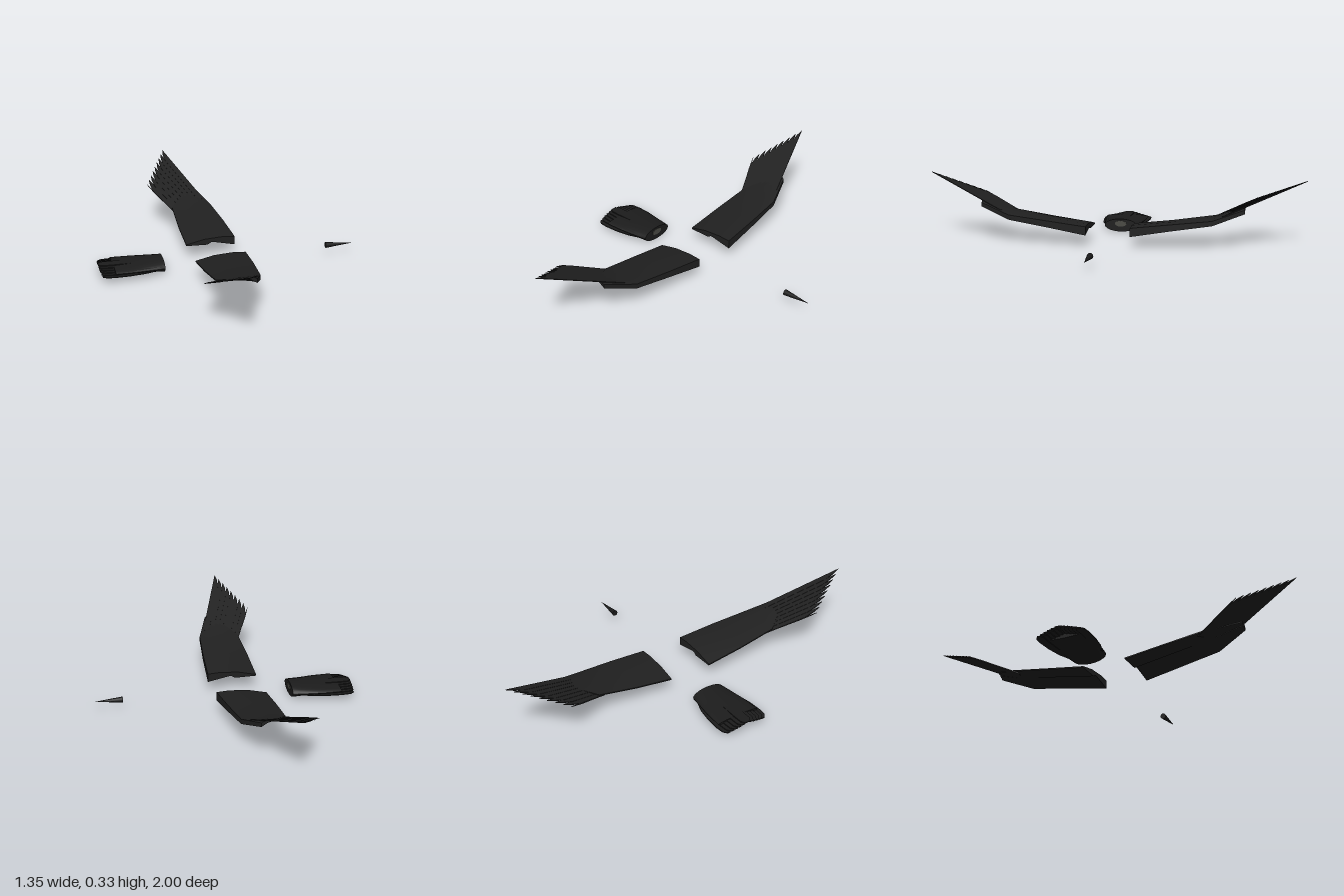
import * as THREE from 'three';
import { toCreasedNormals } from 'three/addons/utils/BufferGeometryUtils.js';

const mat = (name, color) => {
  const m = new THREE.MeshStandardMaterial({ color });
  m.name = name;
  return m;
};

// Closed skin over rings of [x, y, z] points, capped at both ends and always facing outwards
function loft(name, rings, material) {
  const n = rings[0].length, pts = rings.flat().map(p => new THREE.Vector3(...p)), tris = [];
  rings.slice(1).forEach((_, r) => {
    for (let i = 0; i < n; i++) {
      const a = r * n + i, b = r * n + (i + 1) % n;
      tris.push([a, b, b + n], [a, b + n, a + n]);
    }
  });
  [0, rings.length - 1].forEach((r, end) => {
    const cap = rings[r].map(p => new THREE.Vector3(...p));
    const mid = cap.reduce((s, p) => s.add(p), new THREE.Vector3()).divideScalar(n);
    const c = pts.push(mid) - 1;
    for (let i = 0; i < n; i++) {
      const a = r * n + i, b = r * n + (i + 1) % n;
      tris.push(end ? [a, b, c] : [b, a, c]);
    }
  });
  const centre = pts[pts.length - 1];
  let volume = 0;
  for (const [a, b, c] of tris) {
    const [p, q, s] = [a, b, c].map(i => pts[i].clone().sub(centre));
    volume += p.dot(q.cross(s));
  }
  if (volume < 0) tris.forEach(t => t.reverse());
  const geo = new THREE.BufferGeometry().setFromPoints(pts);
  geo.setIndex(tris.flat());
  const mesh = new THREE.Mesh(toCreasedNormals(geo, 0.6), material);
  mesh.name = name;
  return mesh;
}

// Thin plate from an outline
const plate = (name, outline, t, material) =>
  loft(name, [outline, outline.map(([x, y, z]) => [x, y + t, z])], material);

const mix = THREE.MathUtils.lerp;

function wing(side, feather, name) {
  const g = new THREE.Group();
  g.name = name;
  // Arm: cambered section, as fraction back from the leading edge
  const back = [0, 0, 0.25, 0.63, 1, 1, 0.56, 0.56, 0.25];
  const stations = [
    { z: 0.115, lead: 0.065, trail: -0.195, y: [0.055, 0.1, 0.104, 0.097, 0.075, 0.068, 0.066, 0.08, 0.075] },
    { z: 0.32, lead: 0.051, trail: -0.195, y: [0.088, 0.122, 0.126, 0.12, 0.104, 0.098, 0.098, 0.105, 0.1] },
    { z: 0.53, lead: 0.03, trail: -0.187, y: [0.118, 0.143, 0.147, 0.145, 0.138, 0.132, 0.13, 0.131, 0.126] },
    { z: 0.69, lead: -0.03, trail: -0.075, y: [0.174, 0.195, 0.202, 0.203, 0.203, 0.198, 0.192, 0.19, 0.182] },
  ];
  g.add(loft('wingArm', stations.map(s =>
    back.map((b, i) => [mix(s.lead, s.trail, b), s.y[i], s.z * side])), feather));

  // Flight feathers fanned from the wrist, each with a slanted pointed tip
  const count = 9;
  for (let i = 0; i < count; i++) {
    const t = i / (count - 1), w = i === count - 1 ? 0.006 : 0.032;
    const root = new THREE.Vector2(mix(0, -0.17, t), mix(0.58, 0.5, t));
    const tip = new THREE.Vector2(mix(-0.15, -0.29, t), mix(1, 0.74, t));
    const d = tip.clone().sub(root).normalize();
    const at = (along, across) => {
      const x = tip.x - d.x * along - d.y * across, z = tip.y - d.y * along + d.x * across;
      return [x, 0.139 + 0.41 * (z - 0.53) - 0.01 * t, z * side];
    };
    const len = tip.distanceTo(root);
    const outline = [at(len, 0), at(0, 0), at(0.035, w * 0.55), at(0.085, w), at(len, w)];
    g.add(plate('flightFeather', outline, 0.004, feather));
  }
  return g;
}

function tail(feather, under) {
  const g = new THREE.Group();
  g.name = 'tail';
  // Rounded root that flattens towards the fan
  const ring = (x, y, h, w) => Array.from({ length: 20 }, (_, i) => {
    const a = i / 20 * Math.PI * 2;
    return [x, y + h * Math.sin(a), w * Math.cos(a)];
  });
  g.add(loft('tailRoot', [ring(-0.345, 0.036, 0.035, 0.088), ring(-0.38, 0.037, 0.031, 0.094),
    ring(-0.5, 0.041, 0.018, 0.113), ring(-0.6, 0.042, 0.012, 0.118)], feather));
  g.add(loft('tailRootCore', [ring(-0.346, 0.045, 0.016, 0.032), ring(-0.342, 0.045, 0.016, 0.032)], under));

  // Overlapping feathers, highest in the middle
  for (const side of [-1, 1]) for (let i = 0; i < 6; i++) {
    const y = 0.053 - i * 0.005, c = 0.01 + i * 0.0205, end = -0.675 + 0.0004 * i * i;
    const profile = [[-0.36, 0.62], [-0.45, 0.87], [-0.53, 0.97], [-0.6, 1], [end + 0.02, 0.97]];
    const edge = (off) => profile.map(([x, k]) => [x, y, side * (c + off) * k]);
    const outline = [...edge(0.018), [end, y, side * (c + 0.006) * 0.94],
      [end, y, side * (c - 0.012) * 0.94], ...edge(-0.024).reverse()];
    g.add(plate('tailFeather', outline, 0.005, feather));
  }
  return g;
}

export function createModel() {
  const model = new THREE.Group();
  model.name = 'birdParts';
  const wingBlack = mat('wingBlack', 0x202020);
  const tailBlack = mat('tailBlack', 0x1c1c1c);
  const beakBlack = mat('beakBlack', 0x1a1a1a);
  const coreGrey = mat('coreGrey', 0x4a4a44);

  model.add(wing(1, wingBlack, 'rightWing'), wing(-1, wingBlack, 'leftWing'));
  model.add(tail(tailBlack, coreGrey));

  // Beak: slim cone pointing along +x
  const cone = new THREE.ConeGeometry(0.0155, 0.145, 16).rotateZ(-Math.PI / 2);
  const beak = new THREE.Mesh(cone, beakBlack);
  beak.name = 'beak';
  beak.position.set(0.6025, 0.051, 0);
  model.add(beak);
  return model;
}
